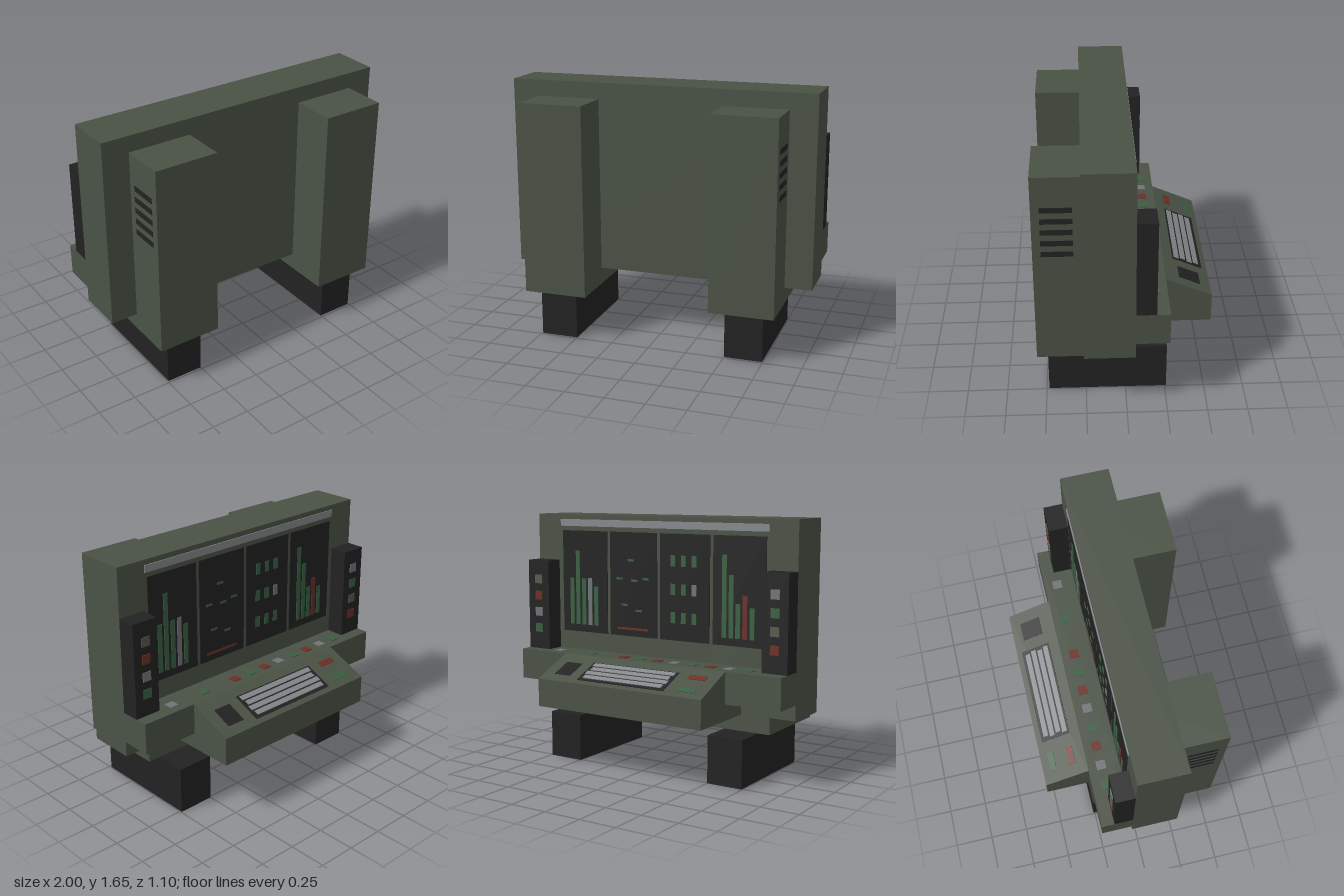
import * as THREE from 'three';

const mat = (name, color) => {
  const m = new THREE.MeshStandardMaterial({ color });
  m.name = name;
  return m;
};

export function createModel() {
  const model = new THREE.Group();
  model.name = 'controlConsole';

  const olive = mat('cabinetOlive', 0x4a5245);
  const black = mat('panelBlack', 0x222222);
  const green = mat('indicatorGreen', 0x3a5f41);
  const red = mat('indicatorRed', 0x6b3026);
  const grey = mat('buttonGrey', 0x707478);
  const light = mat('keyGrey', 0x85888b);
  const dull = mat('unlitOlive', 0x55594c);

  // Box given by its extents on each axis
  const box = (name, m, [x0, x1], [y0, y1], [z0, z1], parent = model) => {
    const mesh = new THREE.Mesh(new THREE.BoxGeometry(x1 - x0, y1 - y0, z1 - z0), m);
    mesh.position.set((x0 + x1) / 2, (y0 + y1) / 2, (z0 + z1) / 2);
    mesh.name = name;
    parent.add(mesh);
    return mesh;
  };

  // Main cabinet and the shelf below the screens
  const BACK = -0.05;
  box('cabinet', olive, [-1, 1], [0.42, 1.655], [BACK, 0.26]);
  box('shelf', olive, [-1, 1], [0.52, 0.725], [-0.255, BACK]);

  // Paired pillars, feet, vents and indicator towers
  const towerLights = { 1: [dull, red, grey, green], [-1]: [grey, green, dull, red] };
  for (const s of [1, -1]) {
    const span = (a, b) => (s > 0 ? [a, b] : [-b, -a]);
    box('pillar', olive, span(0.41, 0.825), [0.31, 1.55], [BACK, 0.55]);
    box('foot', black, span(0.5, 0.745), [0, 0.31], [-0.26, 0.485]);
    for (let i = 0; i < 5; i++) {
      const y = 1.05 + i * 0.0725;
      box('vent', black, span(0.822, 0.828), [y - 0.017, y + 0.017], [0.31, 0.5]);
    }
    box('indicatorTower', black, span(0.825, 1), [0.725, 1.34], [-0.173, BACK]);
    towerLights[s].forEach((m, i) => {
      const y = 1.21 - i * 0.113;
      box('towerLight', m, span(0.882, 0.942), [y - 0.03, y + 0.03], [-0.178, -0.172]);
    });
  }

  // Sloped desk, extruded across the width
  const profile = new THREE.Shape();
  profile.moveTo(0.05, 0.415);
  [[0.545, 0.415], [0.545, 0.6], [0.255, 0.725], [0.05, 0.725]].forEach(p => profile.lineTo(...p));
  const deskGeo = new THREE.ExtrudeGeometry(profile, { depth: 1.24, bevelEnabled: false });
  deskGeo.rotateY(Math.PI / 2).translate(-0.62, 0, 0);
  const desk = new THREE.Mesh(deskGeo, olive);
  desk.name = 'desk';
  model.add(desk);

  // Plates lying on the desk slope, placed by their plan extents
  const slope = Math.atan2(0.125, 0.29);
  const deskPlate = (name, m, x0, x1, z0, z1, lift = 0) => {
    const z = (z0 + z1) / 2;
    const plate = new THREE.Mesh(new THREE.BoxGeometry(x1 - x0, 0.006, (z1 - z0) / Math.cos(slope)), m);
    plate.position.set((x0 + x1) / 2, 0.725 + (z + 0.255) * Math.tan(slope) + lift, z);
    plate.rotation.x = -slope;
    plate.name = name;
    model.add(plate);
  };
  deskPlate('keyboard', black, -0.33, 0.33, -0.51, -0.32);
  for (let i = 0; i < 4; i++) {
    const z = -0.475 + i * 0.0425;
    const w = i % 2 ? 0.312 : 0.3;
    deskPlate('keyRow', light, -w, w, z - 0.016, z + 0.016, 0.005);
  }
  deskPlate('trackPad', black, 0.41, 0.535, -0.478, -0.345);
  deskPlate('greenKey', green, -0.54, -0.415, -0.493, -0.455);
  deskPlate('redKey', red, -0.54, -0.415, -0.367, -0.325);

  // Row of buttons on the shelf
  [[-0.735, green], [-0.6, grey], [-0.467, red], [-0.334, green], [-0.2, grey], [-0.068, red],
    [0.064, green], [0.198, red], [0.465, green], [0.727, grey]].forEach(([x, m]) =>
    box('shelfButton', m, [x - 0.03, x + 0.03], [0.722, 0.73], [-0.2, -0.138]));

  // Header strip and four screens
  box('headerStrip', light, [-0.805, 0.805], [1.575, 1.622], [BACK - 0.006, BACK + 0.002]);
  for (const x of [-0.6, -0.2, 0.2, 0.6])
    box('screen', black, [x - 0.188, x + 0.188], [0.85, 1.545], [BACK - 0.004, BACK + 0.002]);

  // Marks shown on the screens
  const mark = (name, m, x, y0, y1, w) =>
    box(name, m, [x - w / 2, x + w / 2], [y0, y1], [BACK - 0.008, BACK - 0.003]);

  // Bar charts on the outer screens
  [[0.71, 1.22, green], [0.66, 1.41, green], [0.608, 1.22, green], [0.557, 1.225, grey], [0.506, 1.17, green],
    [-0.496, 1.425, green], [-0.545, 1.3, green], [-0.594, 1.12, green], [-0.644, 1.175, red], [-0.695, 1.1, green]]
    .forEach(([x, top, m]) => mark('chartBar', m, x, 0.9, top, 0.033));

  // Scattered trace dashes over a red base line
  [[0.217, 1.36], [0.31, 1.235], [0.19, 1.225], [0.1, 1.24], [0.27, 1.06], [0.156, 1.025]]
    .forEach(([x, y]) => mark('traceDash', green, x, y - 0.007, y + 0.007, 0.05));
  mark('traceBaseLine', red, 0.205, 0.893, 0.907, 0.25);

  // Grid of status cells
  for (let r = 0; r < 3; r++)
    for (let c = 0; c < 3; c++) {
      const y = 1.37 - r * 0.185;
      mark('statusCell', r === 1 && c === 2 ? grey : green, -0.113 - c * 0.08, y - 0.036, y + 0.036, 0.036);
    }

  return model;
}
